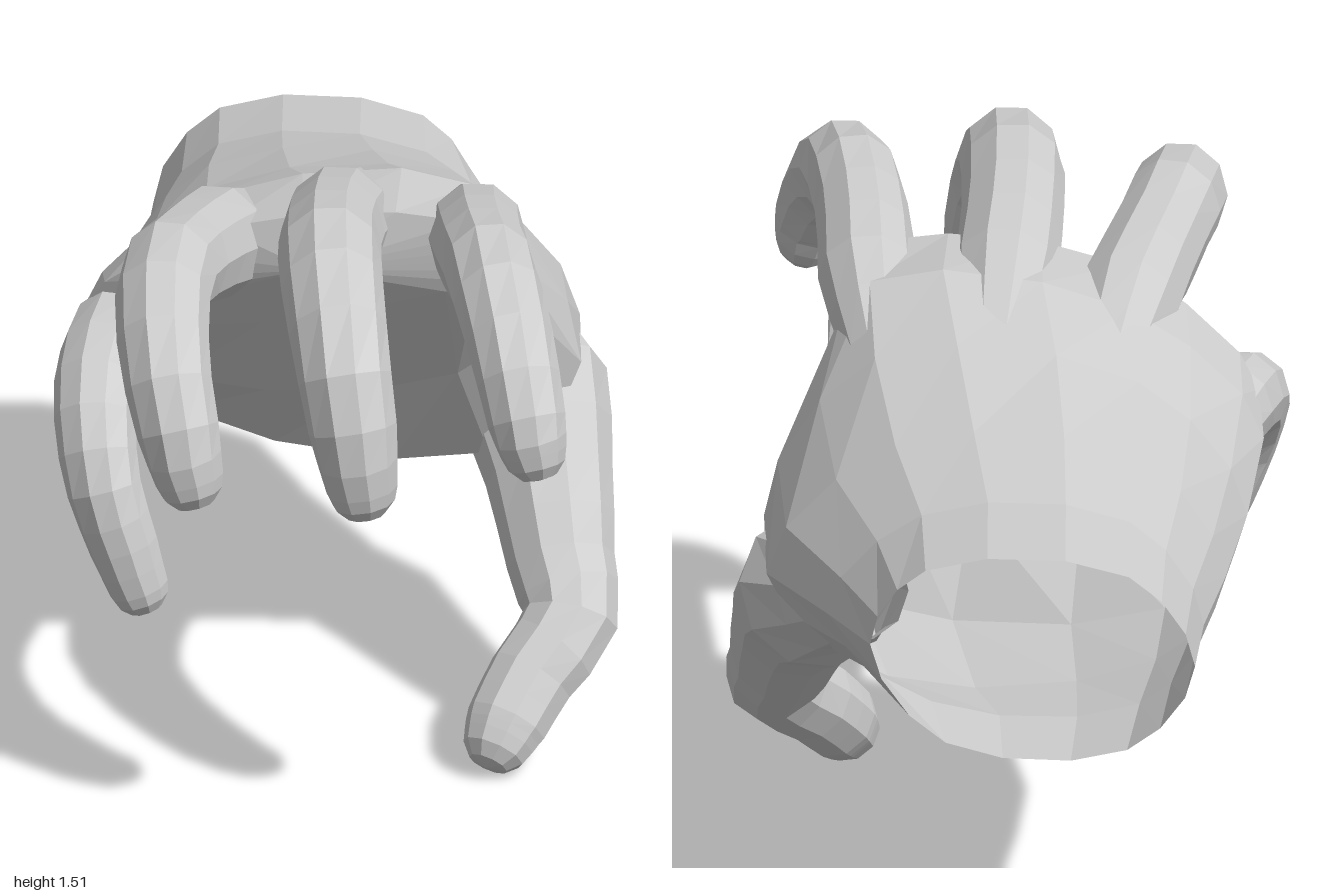
import * as THREE from 'three';

const V = (p) => new THREE.Vector3(...p);
const skin = new THREE.MeshStandardMaterial({ color: 0xcccccc, flatShading: true, side: THREE.DoubleSide });

// Skin a list of rings (equal point counts) and close the far end on a point.
function loft(name, rings, tip) {
  const n = rings[0].length, index = [];
  const points = [...rings.flat(), tip];
  for (let i = 0; i < rings.length; i++) {
    for (let j = 0; j < n; j++) {
      const a = i * n + j, b = i * n + (j + 1) % n;
      if (i < rings.length - 1) index.push(a, b, b + n, a, b + n, a + n);
      else index.push(a, b, points.length - 1);
    }
  }
  const geo = new THREE.BufferGeometry().setFromPoints(points);
  geo.setIndex(index);
  geo.computeVertexNormals();
  const mesh = new THREE.Mesh(geo, skin);
  mesh.name = name;
  return mesh;
}

// Oval of points around a path point, square to the path.
function ringAt(c, t, r, depth, sides = 10) {
  const side = new THREE.Vector3(1, 0, 0).addScaledVector(t, -t.x).normalize();
  const up = t.clone().cross(side);
  return Array.from({ length: sides }, (_, j) => {
    const a = (j / sides) * Math.PI * 2;
    return c.clone().addScaledVector(side, r * Math.cos(a)).addScaledVector(up, r * depth * Math.sin(a));
  });
}

// Tapered digit along a path of [x, y, z, radius]; depth is its thickness over its width.
function digit(name, depth, path, steps = 11) {
  const curve = new THREE.CatmullRomCurve3(path.map((p) => V(p.slice(0, 3))));
  const rings = [];
  let end, radius, tangent;
  for (let i = 0; i <= steps; i++) {
    const u = i / steps, f = u * (path.length - 1), k = Math.min(Math.floor(f), path.length - 2);
    radius = THREE.MathUtils.lerp(path[k][3], path[k + 1][3], f - k);
    end = curve.getPoint(u);
    tangent = curve.getTangent(u);
    rings.push(ringAt(end, tangent, radius, depth));
  }
  // rounded fingertip
  const ahead = (d) => end.clone().addScaledVector(tangent, radius * d);
  for (const [d, s] of [[0.4, 0.87], [0.75, 0.55]]) rings.push(ringAt(ahead(d), tangent, radius * s, depth));
  return loft(name, rings, ahead(0.87));
}

export function createModel() {
  const hand = new THREE.Group();
  hand.name = 'hand';

  // Wrist to knuckles: thumb edge, two back points, little-finger edge, two palm points
  const sections = [
    [[.22, .83, -.97], [.09, 1.03, -1], [-.38, 1.03, -1], [-.53, .8, -.97], [-.37, .57, -.93], [.05, .57, -.92]],
    [[.34, .8, -.72], [.12, 1.06, -.74], [-.36, 1.06, -.74], [-.53, .8, -.72], [-.38, .59, -.7], [.1, .58, -.7]],
    [[.5, .79, -.47], [.2, 1.13, -.5], [-.36, 1.12, -.5], [-.56, .82, -.48], [-.4, .61, -.48], [.22, .54, -.46]],
    [[.53, .81, -.17], [.27, 1.23, -.22], [-.34, 1.19, -.22], [-.59, .87, -.22], [-.4, .63, -.22], [.32, .59, -.13]],
    [[.4, 1.04, .01], [.3, 1.33, 0], [-.3, 1.28, 0], [-.61, .97, 0], [-.4, .79, -.05], [.26, .85, 0]],
    [[.41, 1.24, .2], [.3, 1.34, .22], [-.27, 1.3, .22], [-.59, 1.04, .12], [-.38, .99, .1], [.25, 1.15, .2]],
  ];
  const rings = sections.map((s) => {
    const loop = new THREE.CatmullRomCurve3(s.map(V), true);
    return Array.from({ length: 18 }, (_, j) => loop.getPoint(j / 18));
  });
  hand.add(loft('palm', rings, V([-.06, 1.22, .26])));

  // Fingers, rising out of the back of the hand at the knuckles
  hand.add(digit('indexFinger', 1.1, [
    [.27, 1.18, -.1, .08], [.315, 1.27, .14, .115], [.345, 1.335, .37, .108], [.395, 1.36, .58, .107],
    [.455, 1.27, .76, .1], [.5, 1.13, .865, .09], [.515, 1.07, .88, .077]]));
  hand.add(digit('middleFinger', 1.1, [
    [0, 1.2, -.12, .09], [0, 1.29, .14, .123], [0, 1.355, .37, .118], [.02, 1.38, .6, .12],
    [.06, 1.285, .8, .112], [.1, 1.1, .89, .102], [.12, .97, .9, .083]]));
  hand.add(digit('ringFinger', 1.1, [
    [-.25, 1.14, -.1, .09], [-.28, 1.23, .14, .122], [-.33, 1.295, .37, .11], [-.365, 1.325, .57, .112],
    [-.35, 1.23, .765, .105], [-.305, 1.07, .87, .095], [-.28, .97, .885, .08]]));
  hand.add(digit('littleFinger', 1, [
    [-.45, .95, -.1, .09], [-.52, .985, .17, .11], [-.545, .925, .36, .097],
    [-.52, .78, .483, .088], [-.47, .63, .51, .082], [-.43, .515, .515, .07]]));

  // Thumb, widening into the ball of the palm
  hand.add(digit('thumb', 1, [
    [.28, .78, -.52, .12], [.4, .68, -.29, .185], [.46, .54, -.125, .148], [.5, .39, .02, .125],
    [.53, .29, .12, .112], [.45, .19, .225, .102], [.4, .11, .305, .096], [.385, .08, .335, .085]], 14));

  return hand;
}
